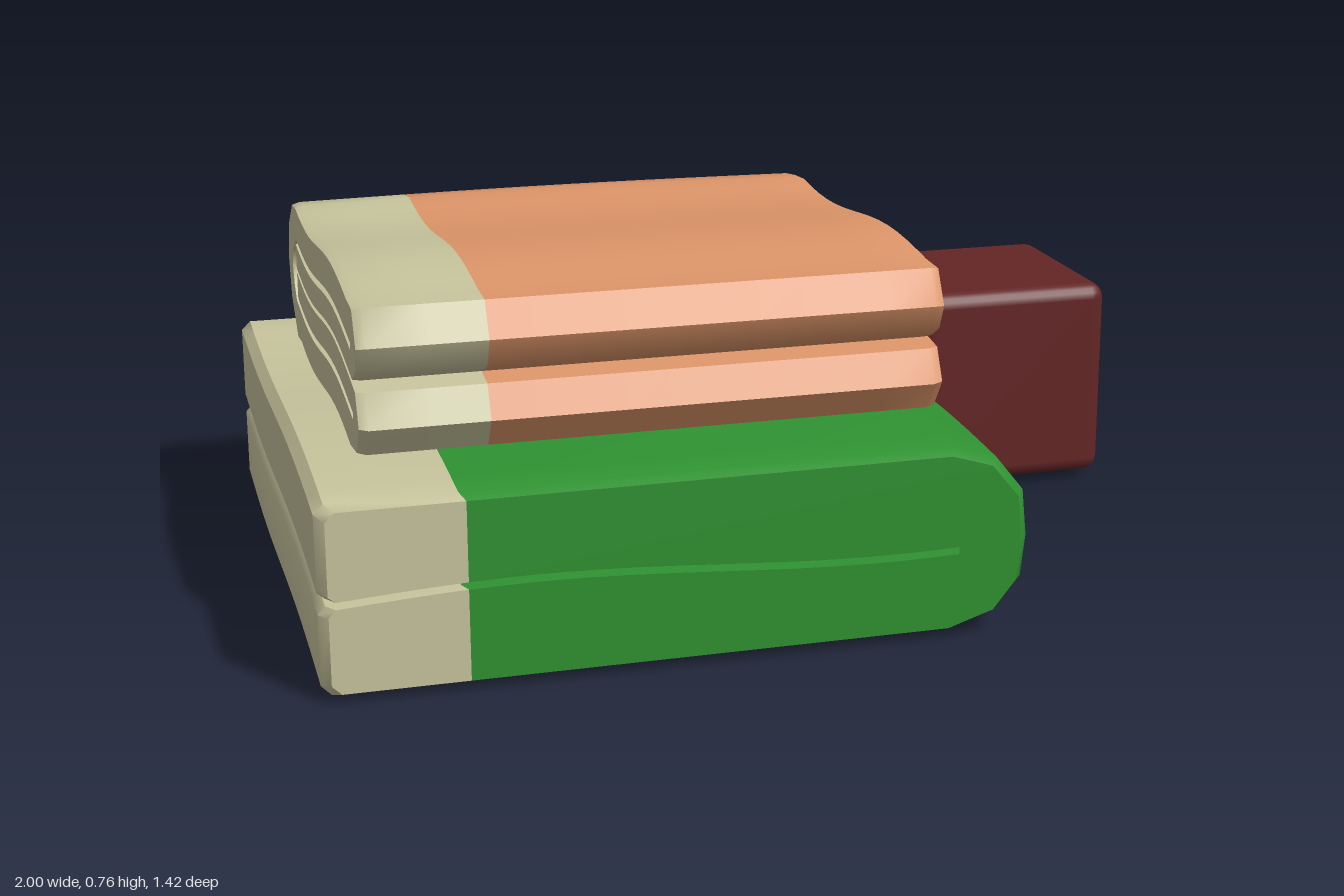
import * as THREE from 'three';
import { toCreasedNormals } from 'three/addons/utils/BufferGeometryUtils.js';
import { RoundedBoxGeometry } from 'three/addons/geometries/RoundedBoxGeometry.js';

const mat = (name, color) => {
  const m = new THREE.MeshStandardMaterial({ color });
  m.name = name;
  return m;
};

// Evenly spaced points from a to b, with height given by f
const run = (a, b, n, f) => Array.from({ length: n + 1 }, (_, i) => {
  const u = a + (b - a) * i / n;
  return [u, f(u)];
});

// Evenly spaced ring positions from a to b
const spaced = (a, b, n) => run(a, b, n, () => 0).map(p => p[0]);

// Extrudes an outline through uneven rings, then moves each vertex by a rule
function loft(outline, rings, alongX, warp) {
  const shape = new THREE.Shape(outline.map(p => new THREE.Vector2(p[0], p[1])));
  const steps = rings.length - 1;
  const geo = new THREE.ExtrudeGeometry(shape, { depth: steps, steps, bevelEnabled: false });
  const pos = geo.attributes.position;
  const v = new THREE.Vector3();
  for (let i = 0; i < pos.count; i++) {
    v.fromBufferAttribute(pos, i);
    v.z = rings[Math.round(v.z)];
    if (alongX) v.set(-v.z, v.y, v.x);
    warp(v);
    pos.setXYZ(i, v.x, v.y, v.z);
  }
  geo.clearGroups();
  return toCreasedNormals(geo, 0.75);
}

// Gives triangles chosen by rule(centre, normal) the second material
function splitFaces(geo, rule) {
  const pos = geo.attributes.position;
  const t = new THREE.Triangle(), c = new THREE.Vector3(), n = new THREE.Vector3();
  for (let i = 0; i < pos.count; i += 3) {
    t.setFromAttributeAndIndices(pos, i, i + 1, i + 2);
    t.getMidpoint(c);
    t.getNormal(n);
    const index = rule(c, n) ? 1 : 0;
    const last = geo.groups[geo.groups.length - 1];
    if (last && last.materialIndex === index) last.count += 3;
    else geo.addGroup(i, 3, index);
  }
  return geo;
}

export function createModel() {
  const model = new THREE.Group();
  const green = mat('green cloth', 0x2f9131);
  const darkGreen = mat('shaded green cloth', 0x35522f);
  const cream = mat('cream cloth', 0xc6c39c);
  const orange = mat('orange cloth', 0xdc9468);
  const red = mat('dark red', 0x642525);

  const add = (parent, name, geo, material) => {
    const mesh = new THREE.Mesh(geo, material);
    mesh.name = name;
    parent.add(mesh);
  };

  // Lower blanket: one fold at +x, open slit towards -x
  const lower = new THREE.Group();
  lower.name = 'lowerBlanket';
  model.add(lower);
  const T = 0.404, B = 0.012, S = -0.72;
  const slit = off => x => 0.205 + off + 0.018 * Math.sin((-0.2 - x) * 4);
  const lowerRings = [-0.71, -0.685, ...spaced(-0.6, 0.6, 18), 0.685, 0.71];
  const lowerWarp = v => {
    if (v.z < -0.7 && v.x < S + 0.001) v.x = -1 + (v.x + 1) * 0.45;
    if (Math.abs(v.z) > 0.7) {
      v.x = -0.27 + (v.x + 0.27) * 0.975;
      v.y = 0.205 + (v.y - 0.205) * 0.95;
    }
    v.y += 0.012 * Math.sin(4.5 * v.z);
  };
  const foldOutline = [
    [S, T], [0.3, T], [0.39, 0.375], [0.45, 0.3], [0.46, 0.2], [0.45, 0.11], [0.4, 0.045],
    [0.3, B], [S, B], ...run(S, 0.32, 16, slit(-0.008)), ...run(0.32, S, 16, slit(0.008)),
  ];
  const foldGeo = splitFaces(loft(foldOutline, lowerRings, false, lowerWarp),
    (c, n) => n.z < -0.8 || (n.y < -0.3 && c.y < 0.1));
  add(lower, 'lowerBlanketBody', foldGeo, [green, darkGreen]);

  const bands = {
    upperCreamBand: [[S, T], [-0.98, T], [-1, T - 0.02], [-1, 0.225],
      ...run(-0.985, S, 5, slit(0.008))],
    lowerCreamBand: [[S, B], [-0.98, B], [-1, B + 0.02], [-1, 0.18],
      ...run(-0.985, S, 5, slit(-0.008))],
  };
  for (const [name, outline] of Object.entries(bands)) {
    const geo = splitFaces(loft(outline, lowerRings, false, lowerWarp),
      (c, n) => n.y < -0.8 && c.y < 0.1);
    add(lower, name, geo, [cream, darkGreen]);
  }

  // Upper blanket: two front folds tucked inside one loose fold at the back
  const upper = new THREE.Group();
  upper.name = 'upperBlanket';
  model.add(upper);
  const wave = base => z => base - 0.006 + 0.017 * Math.sin(7 * z);
  const N = 14;
  const upperOutline = [
    // upper front tip and top
    [0.545, 0.615], [0.57, 0.67], [0.53, 0.742],
    ...run(0.46, -0.4, N, wave(0.752)),
    // loose back fold
    [-0.47, 0.735], [-0.56, 0.668], [-0.592, 0.58], [-0.565, 0.49], [-0.47, 0.415],
    // underside and lower front tip
    ...run(-0.4, 0.43, N, wave(0.433)),
    [0.525, 0.442], [0.57, 0.505], [0.535, 0.572],
    // gap between the halves, lower half of it
    ...run(0.49, -0.43, N, wave(0.589)),
    // lower inner slit
    ...run(-0.43, 0.49, N, wave(0.527)),
    ...run(0.49, -0.42, N, wave(0.511)),
    // hollow of the back fold
    [-0.46, 0.505], [-0.495, 0.54], [-0.51, 0.58], [-0.495, 0.62], [-0.455, 0.647],
    // upper inner slit
    ...run(-0.42, 0.49, N, wave(0.674)),
    ...run(0.49, -0.43, N, wave(0.658)),
    // gap between the halves, upper half of it
    ...run(-0.43, 0.5, N, wave(0.6)),
  ];
  const upperWarp = v => {
    // slight rise of the top towards the middle of the back
    const rise = Math.max(0, (v.y - 0.68) / 0.08) * Math.exp(-(((v.z + 0.3) / 0.2) ** 2));
    v.y += 0.016 * rise * Math.sin(Math.PI * (v.x + 0.89) / 1.2);
    if (v.x < -0.889 || v.x > 0.314) {
      v.z *= 0.985;
      v.y = 0.585 + (v.y - 0.585) * 0.975;
    }
  };
  const toDepth = xs => xs.map(x => -x);
  add(upper, 'upperBlanketBody',
    loft(upperOutline, toDepth([0.315, 0.295, ...spaced(0.2, -0.63, 9)]), true, upperWarp), orange);
  add(upper, 'upperBlanketCreamBand',
    loft(upperOutline, toDepth([-0.63, -0.75, -0.872, -0.89]), true, upperWarp), cream);

  // Cube beside the blankets
  const cube = new RoundedBoxGeometry(0.47, 0.47, 0.47, 2, 0.035);
  cube.translate(0.765, 0.255, -0.378);
  add(model, 'cube', cube, red);

  return model;
}
